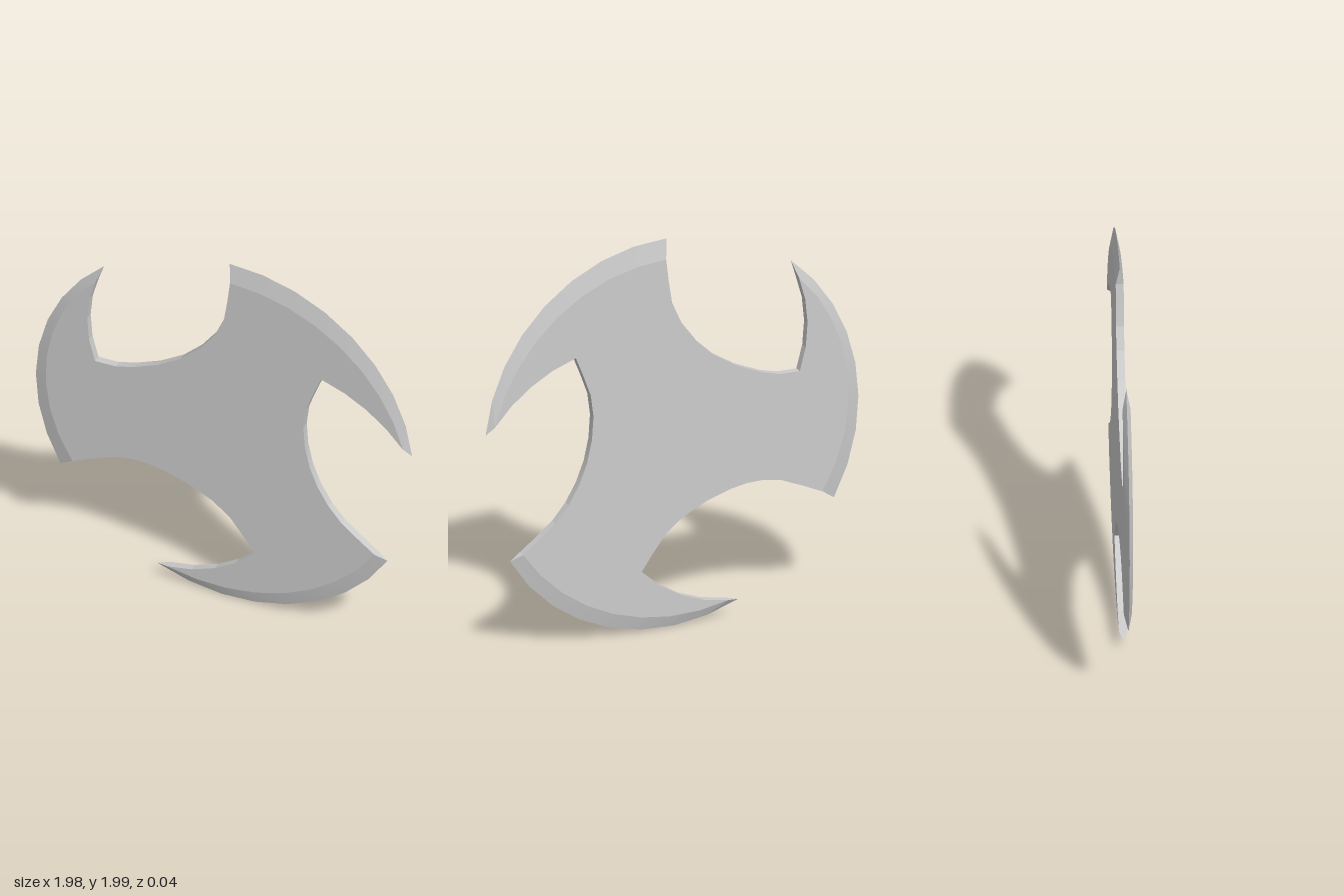
import * as THREE from 'three';
import { toCreasedNormals } from 'three/addons/utils/BufferGeometryUtils.js';

const HALF = 0.019; // half the plate thickness
const STEPS = 8; // facets along each cutting edge
const v = (x, y) => new THREE.Vector2(x, y);

// Points along the circle through a, b and c
function arc(a, b, c, steps) {
  const p = b.clone().sub(a), q = c.clone().sub(a);
  const d = 2 * p.cross(q);
  const centre = v(
    a.x + (q.y * p.lengthSq() - p.y * q.lengthSq()) / d,
    a.y + (p.x * q.lengthSq() - q.x * p.lengthSq()) / d
  );
  const start = a.clone().sub(centre), end = c.clone().sub(centre);
  const sweep = Math.atan2(start.cross(end), start.dot(end));
  return Array.from({ length: steps + 1 }, (_, i) => a.clone().rotateAround(centre, (sweep * i) / steps));
}

// Each arm, clockwise: cutting edge from blade corner to hook tip, the ridge
// where its bevel meets the flat, the inside of the hook, and the throat
// that sweeps on to the next arm's ridge.
function arm(edge, ridge, hookMiddle, corner, throat) {
  return {
    edge: arc(...edge, STEPS),
    ridge: arc(...ridge, STEPS),
    hook: arc(ridge[2], hookMiddle, corner, 4),
    throat,
  };
}

const ARMS = [
  arm([v(0.03, 2), v(0.68, 1.765), v(0.99, 1.16)], [v(0.04, 1.9), v(0.6, 1.72), v(0.95, 1.2)],
    v(0.78, 1.36), v(0.52, 1.48), [v(0.43, 1.22), v(0.46, 0.93), v(0.59, 0.69)]),
  arm([v(0.86, 0.49), v(0.24, 0.03), v(-0.35, 0.08)], [v(0.8, 0.52), v(0.19, 0.09), v(-0.29, 0.092)],
    v(0.01, 0.19), v(0.17, 0.32), [v(0, 0.53), v(-0.3, 0.66), v(-0.52, 0.67)]),
  arm([v(-0.86, 0.51), v(-0.99, 1.02), v(-0.63, 1.77)], [v(-0.79, 0.56), v(-0.93, 1.02), v(-0.665, 1.68)],
    v(-0.71, 1.4), v(-0.67, 1.2), [v(-0.53, 1.21), v(-0.22, 1.36), v(-0.01, 1.62)]),
];

// Notch between two arms, from one ridge's end to the next ridge's start
function notchPath(i) {
  const { hook, throat } = ARMS[i];
  const next = ARMS[(i + 1) % ARMS.length];
  const stops = [hook.at(-1), ...throat, next.ridge[0]].map((p) => new THREE.Vector3(p.x, p.y, 0));
  const sweep = new THREE.CatmullRomCurve3(stops).getPoints(10).map((p) => v(p.x, p.y));
  return [...hook, ...sweep.slice(1)];
}

const at = (p, z) => [p.x, p.y, z];

function meshFrom(triangles, name) {
  const geometry = new THREE.BufferGeometry();
  geometry.setAttribute('position', new THREE.Float32BufferAttribute(triangles.flat(2), 3));
  const mesh = new THREE.Mesh(toCreasedNormals(geometry, 0.17), new THREE.MeshStandardMaterial({ color: 0xcccccc }));
  mesh.name = name;
  return mesh;
}

// Flat front and back faces inside the ridges
function plate() {
  const outline = ARMS.flatMap((a, i) => [...a.ridge, ...notchPath(i).slice(1, -1)]).reverse();
  const triangles = [];
  for (const face of THREE.ShapeUtils.triangulateShape(outline, [])) {
    const [a, b, c] = face.map((k) => outline[k]);
    triangles.push([at(a, HALF), at(b, HALF), at(c, HALF)], [at(a, -HALF), at(c, -HALF), at(b, -HALF)]);
  }
  return meshFrom(triangles, 'plate');
}

// Bevels sloping from the front and back ridges to the cutting edge
function bevel({ edge, ridge }) {
  const triangles = [];
  for (let i = 0; i < STEPS; i++) {
    const e0 = at(edge[i], 0), e1 = at(edge[i + 1], 0);
    const f0 = at(ridge[i], HALF), f1 = at(ridge[i + 1], HALF);
    const b0 = at(ridge[i], -HALF), b1 = at(ridge[i + 1], -HALF);
    triangles.push([f0, f1, e0], [f1, e1, e0], [b0, e0, b1], [b1, e0, e1]);
  }
  return meshFrom(triangles, 'bladeBevel');
}

// Straight wall of a notch, closing to a point on the cutting edge at each end
function notchWall(i) {
  const path = notchPath(i);
  const triangles = [];
  for (let k = 0; k < path.length - 1; k++) {
    const f0 = at(path[k], HALF), f1 = at(path[k + 1], HALF);
    const b0 = at(path[k], -HALF), b1 = at(path[k + 1], -HALF);
    triangles.push([f0, f1, b0], [f1, b1, b0]);
  }
  const first = path[0], last = path.at(-1);
  const hookTip = at(ARMS[i].edge.at(-1), 0);
  const bladeCorner = at(ARMS[(i + 1) % ARMS.length].edge[0], 0);
  triangles.push([hookTip, at(first, HALF), at(first, -HALF)]);
  triangles.push([at(last, HALF), bladeCorner, at(last, -HALF)]);
  return meshFrom(triangles, 'notchWall');
}

export function createModel() {
  const model = new THREE.Group();
  model.name = 'throwingStar';
  model.add(plate());
  ARMS.forEach((a, i) => model.add(bevel(a), notchWall(i)));
  return model;
}
